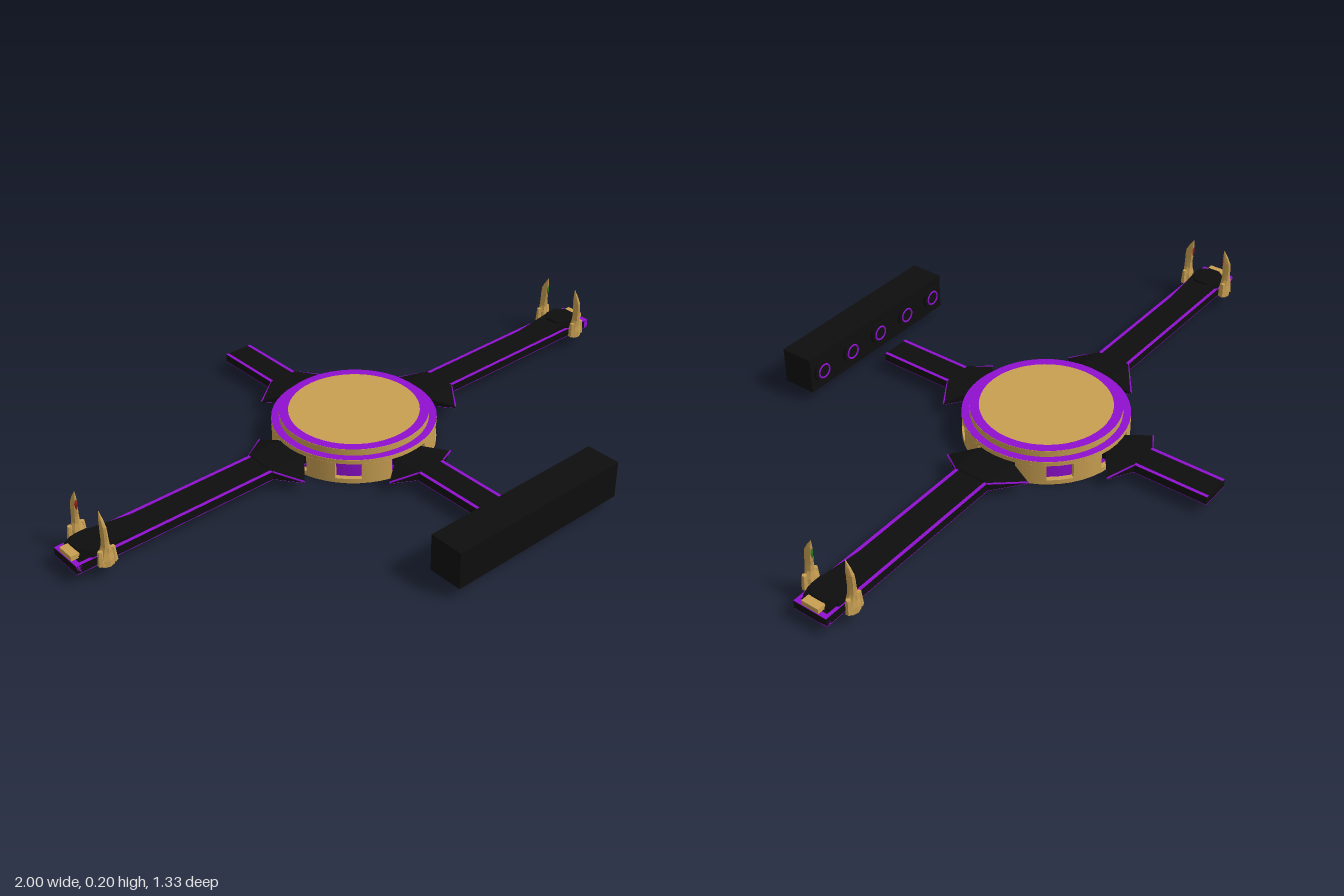
import * as THREE from 'three';
import { ConvexGeometry } from 'three/addons/geometries/ConvexGeometry.js';

const mat = (color, flatShading = false) =>
  new THREE.MeshStandardMaterial({ color, flatShading, side: THREE.DoubleSide });
const black = mat(0x0e0e0e, true), purple = mat(0x9010d0), gold = mat(0xc9a052), goldFlat = mat(0xc9a052, true);
const red = mat(0xa02020, true), green = mat(0x2f8a2a, true);
const CZ = -0.095; // hub centre on z

function add(parent, name, geo, material, x = 0, y = 0, z = 0) {
  const m = new THREE.Mesh(geo, material);
  m.name = name;
  m.position.set(x, y, z);
  parent.add(m);
  return m;
}

function box(parent, name, material, x0, x1, y0, y1, z0, z1) {
  return add(parent, name, new THREE.BoxGeometry(x1 - x0, y1 - y0, z1 - z0), material,
    (x0 + x1) / 2, (y0 + y1) / 2, (z0 + z1) / 2);
}

function disc(parent, name, material, r, y0, y1) {
  return add(parent, name, new THREE.CylinderGeometry(r, r, y1 - y0, 48), material, 0, (y0 + y1) / 2, 0);
}

function ring(parent, name, inner, outer, y) {
  const m = add(parent, name, new THREE.RingGeometry(inner, outer, 48), purple, 0, y, 0);
  m.rotation.x = -Math.PI / 2;
}

// Round hub: purple core seen through windows between gold pillars
function makeHub() {
  const hub = new THREE.Group();
  hub.name = 'hub';
  disc(hub, 'hubCore', purple, 0.232, 0.01, 0.07);
  disc(hub, 'hubBase', gold, 0.248, 0, 0.015);
  disc(hub, 'hubRim', gold, 0.248, 0.066, 0.08);
  disc(hub, 'hubTopTier', gold, 0.225, 0.08, 0.101);
  ring(hub, 'rimRing', 0.22, 0.248, 0.0808);
  ring(hub, 'topRing', 0.197, 0.225, 0.1018);
  const rad = Math.PI / 180;
  for (let i = 0; i < 8; i++) {
    // wide windows face the arms, narrow ones lie on the diagonals
    const half = (k) => (k % 2 ? 9 : 15);
    const a = (i * 45 + half(i)) * rad, b = ((i + 1) * 45 - half(i + 1)) * rad;
    const s = new THREE.Shape();
    s.absarc(0, 0, 0.248, a, b, false);
    s.absarc(0, 0, 0.225, b, a, true);
    const geo = new THREE.ExtrudeGeometry(s, { depth: 0.054, bevelEnabled: false, curveSegments: 4 });
    geo.rotateX(-Math.PI / 2);
    add(hub, 'hubPillar', geo, goldFlat, 0, 0.014, 0);
    // narrow raised rib on each pillar
    const m = (a + b) / 2;
    const rib = add(hub, 'pillarRib', new THREE.BoxGeometry(0.012, 0.066, 0.035), goldFlat,
      Math.cos(m) * 0.235, 0.038, -Math.sin(m) * 0.235);
    rib.rotation.y = m;
  }
  hub.position.z = CZ;
  return hub;
}

// Arm along +x from the hub centre, with purple edging and underside
function makeArm(name, length, half, wings) {
  const arm = new THREE.Group();
  arm.name = name;
  box(arm, 'armBeam', black, 0.22, length, 0.036, 0.061, -half, half);
  box(arm, 'armUnderside', purple, 0.22, length, 0.034, 0.036, -half, half);
  for (const s of [-1, 1]) {
    const strip = half - 0.005;
    box(arm, 'armEdging', purple, wings.end, length, 0.0605, 0.062, s * strip - 0.005, s * strip + 0.005);
    // swept wing sloping down to a thin point
    const [tx, tz] = s < 0 ? wings.back : wings.front;
    const outline = [[wings.start, 0], [wings.start + 0.005, s * half], [tx, s * tz], [wings.end, s * half], [wings.end, 0]];
    const pts = [];
    outline.forEach(([x, z], i) => {
      pts.push(new THREE.Vector3(x, 0.036, z));
      pts.push(new THREE.Vector3(x, i === 2 ? 0.041 : 0.064, z));
    });
    add(arm, 'armWing', new ConvexGeometry(pts), black);
    const shape = new THREE.Shape(outline.map(([x, z]) => new THREE.Vector2(x, z)));
    const under = new THREE.ShapeGeometry(shape);
    under.rotateX(Math.PI / 2);
    add(arm, 'wingUnderside', under, purple, 0, 0.035, 0);
    // purple line along the outer slope of the wing
    const line = new THREE.LineCurve3(new THREE.Vector3(tx, 0.04, s * tz), new THREE.Vector3(wings.end, 0.061, s * half));
    add(arm, 'wingEdging', new THREE.TubeGeometry(line, 1, 0.003, 5), purple);
  }
  return arm;
}

// Curved claw: a column of rings reshaped from its foot to a bent tip
function clawGeometry(scale) {
  const levels = [[0.022, 0.017, 0], [0.022, 0.018, 0], [0.019, 0.016, 0], [0.011, 0.015, 0.002],
    [0.009, 0.014, 0.002], [0.008, 0.015, 0.001], [0.007, 0.014, 0], [0.005, 0.009, -0.006], [0.001, 0.001, -0.012]];
  const geo = new THREE.CylinderGeometry(1, 1, 1, 8, 8);
  const p = geo.attributes.position;
  for (let i = 0; i < p.count; i++) {
    const t = p.getY(i) + 0.5;
    const [w, d, bend] = levels[Math.round(t * 8)];
    p.setXYZ(i, p.getX(i) * w * scale, 0.038 + t * 0.162, p.getZ(i) * d + bend);
  }
  geo.computeVertexNormals();
  return geo;
}

// Raised end of a side arm with a pair of claws
function addTip(arm, gem) {
  const s = new THREE.Shape([[0.76, 0.06], [0.9, 0.079], [0.955, 0.081], [0.975, 0.068], [0.975, 0.06]]
    .map(([x, y]) => new THREE.Vector2(x, y)));
  const geo = new THREE.ExtrudeGeometry(s, { depth: 0.09, bevelEnabled: false });
  add(arm, 'tipHump', geo, black, 0, 0, -0.045);
  const cap = add(arm, 'tipCap', new THREE.CylinderGeometry(0.05, 0.056, 0.02, 8), black, 0.925, 0.072, 0);
  cap.rotation.y = Math.PI / 8;
  box(arm, 'tipPlate', purple, 0.985, 1, 0.035, 0.062, -0.055, 0.055);
  box(arm, 'tipTrim', goldFlat, 0.972, 0.998, 0.062, 0.077, -0.028, 0.028);
  for (const side of [-1, 1]) {
    const claw = new THREE.Group();
    claw.name = 'claw';
    add(claw, 'clawBlade', clawGeometry(1), goldFlat);
    // coloured inlay on the inner face
    const inlay = add(claw, 'clawInlay', new THREE.OctahedronGeometry(1), gem, 0, 0.16, -0.012);
    inlay.scale.set(0.005, 0.03, 0.005);
    for (const x of [-0.019, 0.019])
      add(claw, 'clawFoot', new THREE.CylinderGeometry(0.007, 0.011, 0.045, 6), goldFlat, x, 0.067, 0.004);
    claw.scale.z = side;
    claw.position.set(0.918, 0, side * 0.07);
    arm.add(claw);
  }
}

// Separate bar with a row of round sockets on its back
function makeBar() {
  const bar = new THREE.Group();
  bar.name = 'bar';
  box(bar, 'barBody', black, -0.305, 0.305, 0.035, 0.15, 0.555, 0.662);
  for (let i = -2; i <= 2; i++) {
    const collar = add(bar, 'socketCollar', new THREE.CylinderGeometry(0.036, 0.036, 0.012, 20), black, i * 0.128, 0.092, 0.552);
    collar.rotation.x = Math.PI / 2;
    add(bar, 'socketRing', new THREE.TorusGeometry(0.022, 0.003, 6, 24), purple, i * 0.128, 0.092, 0.546);
  }
  return bar;
}

export function createModel() {
  const model = new THREE.Group();
  model.name = 'model';
  model.add(makeHub());
  // side arms
  const sideWings = { start: 0.235, end: 0.355, back: [0.262, 0.127], front: [0.3, 0.13] };
  for (const s of [1, -1]) {
    const arm = makeArm(s > 0 ? 'leftArm' : 'rightArm', 1, 0.055, sideWings);
    addTip(arm, s > 0 ? green : red);
    arm.scale.x = s;
    arm.position.z = CZ;
    model.add(arm);
  }
  // front and back arms
  const shortWings = { start: 0.235, end: 0.335, back: [0.293, 0.12], front: [0.293, 0.12] };
  for (const s of [1, -1]) {
    const arm = makeArm(s > 0 ? 'frontArm' : 'backArm', s > 0 ? 0.585 : 0.57, 0.048, shortWings);
    arm.rotation.y = -s * Math.PI / 2;
    arm.position.set(-0.003, 0, CZ);
    model.add(arm);
  }
  model.add(makeBar());
  return model;
}
